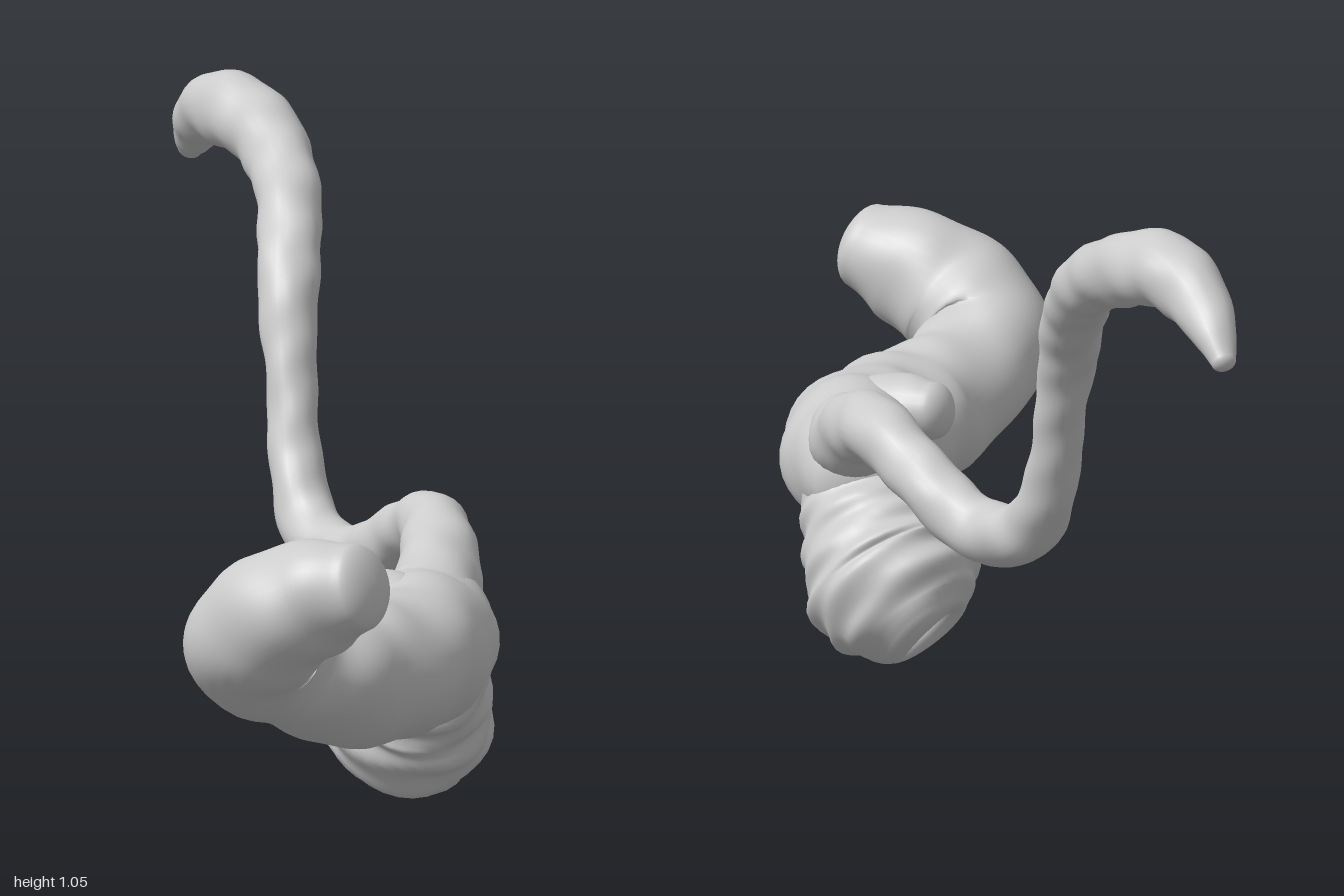
import * as THREE from 'three';

const material = new THREE.MeshStandardMaterial({ color: 0xcccccc });

// Smooth tube through stations [x, y, z, radius], closed by rounded caps.
// startBulge / endBulge set cap depth relative to the radius; a negative one makes a hollow.
function organicTube(name, stations, { rows = 100, sides = 36, startBulge = 0.5, endBulge = 0.5, wobble = 0.02 } = {}) {
  const path = new THREE.CatmullRomCurve3(stations.map(([x, y, z]) => new THREE.Vector3(x, y, z)));
  path.arcLengthDivisions = 600;
  const radii = new THREE.CatmullRomCurve3(
    stations.map((s, i) => new THREE.Vector3(i, s[3], 0)), false, 'catmullrom', 0.5);
  const frames = path.computeFrenetFrames(rows, false);
  const positions = [], index = [];
  let ringCount = 0;

  const ring = (row, scale, offset) => {
    const u = row / rows;
    const r = radii.getPoint(path.getUtoTmapping(u)).y;
    const centre = path.getPointAt(u).addScaledVector(frames.tangents[row], offset * r);
    for (let j = 0; j < sides; j++) {
      const a = (j / sides) * Math.PI * 2;
      // gentle uneven swelling of the wall
      const w = 1 + wobble * (Math.sin(3 * a + row * 0.33) + Math.sin(2 * a - row * 0.55));
      const p = centre.clone()
        .addScaledVector(frames.normals[row], Math.cos(a) * r * scale * w)
        .addScaledVector(frames.binormals[row], Math.sin(a) * r * scale * w);
      positions.push(p.x, p.y, p.z);
    }
    ringCount++;
  };

  const capSteps = 8;
  for (let k = 0; k < capSteps; k++) {
    const a = (k / capSteps) * Math.PI / 2;
    ring(0, Math.max(Math.sin(a), 0.001), -startBulge * Math.cos(a));
  }
  for (let i = 0; i <= rows; i++) ring(i, 1, 0);
  for (let k = 1; k <= capSteps; k++) {
    const a = (k / capSteps) * Math.PI / 2;
    ring(rows, Math.max(Math.cos(a), 0.001), endBulge * Math.sin(a));
  }

  for (let i = 0; i < ringCount - 1; i++) {
    for (let j = 0; j < sides; j++) {
      const a = i * sides + j, b = i * sides + (j + 1) % sides;
      index.push(a, b, a + sides, b, b + sides, a + sides);
    }
  }
  const geometry = new THREE.BufferGeometry();
  geometry.setAttribute('position', new THREE.Float32BufferAttribute(positions, 3));
  geometry.setIndex(index);
  geometry.computeVertexNormals();
  const mesh = new THREE.Mesh(geometry, material);
  mesh.name = name;
  return mesh;
}

export function createModel() {
  const group = new THREE.Group();
  group.name = 'branchingVessel';

  // Thick trunk, from the upturned front end back to the fork
  group.add(organicTube('trunk', [
    [-0.375, 0.525, 0.965, 0.075],
    [-0.405, 0.505, 0.90, 0.098],
    [-0.445, 0.455, 0.81, 0.112],
    [-0.435, 0.40, 0.73, 0.115],
    [-0.35, 0.355, 0.69, 0.108],
    [-0.22, 0.32, 0.67, 0.122],
    [-0.10, 0.315, 0.635, 0.125],
    [0.00, 0.325, 0.565, 0.127],
    [0.08, 0.335, 0.475, 0.115],
    [0.13, 0.345, 0.40, 0.09],
  ]));

  // Lower branch, swelling into a bulb
  group.add(organicTube('bulbBranch', [
    [0.05, 0.34, 0.50, 0.09],
    [0.09, 0.29, 0.44, 0.108],
    [0.12, 0.225, 0.375, 0.128],
    [0.13, 0.175, 0.325, 0.15],
    [0.135, 0.145, 0.285, 0.138],
    [0.135, 0.115, 0.25, 0.105],
    [0.133, 0.10, 0.232, 0.075],
    // lip turning back into a shallow hollow
    [0.132, 0.098, 0.230, 0.055],
  ], { endBulge: -0.9, wobble: 0.025 }));

  // Short stub on top of the trunk
  group.add(organicTube('stub', [
    [0.0, 0.36, 0.58, 0.07],
    [-0.04, 0.395, 0.52, 0.065],
    [-0.07, 0.405, 0.45, 0.05],
  ], { rows: 24, sides: 24, endBulge: 0.7 }));

  // Long thin vessel winding up and away to the back
  group.add(organicTube('thinVessel', [
    [0.06, 0.36, 0.50, 0.09],
    [0.14, 0.405, 0.41, 0.075],
    [0.20, 0.455, 0.32, 0.062],
    [0.24, 0.47, 0.23, 0.056],
    [0.26, 0.435, 0.12, 0.053],
    [0.267, 0.385, 0.01, 0.054],
    [0.267, 0.365, -0.08, 0.054],
    [0.27, 0.395, -0.18, 0.052],
    [0.283, 0.49, -0.25, 0.046],
    [0.305, 0.63, -0.30, 0.043],
    [0.33, 0.755, -0.35, 0.051],
    [0.385, 0.855, -0.43, 0.054],
    [0.44, 0.93, -0.53, 0.056],
    [0.475, 0.985, -0.65, 0.062],
    [0.483, 1.01, -0.77, 0.065],
    [0.50, 0.985, -0.87, 0.055],
    [0.525, 0.935, -0.945, 0.036],
    [0.54, 0.908, -0.98, 0.021],
  ], { rows: 220, sides: 24, endBulge: 0.8, wobble: 0.025 }));

  return group;
}
